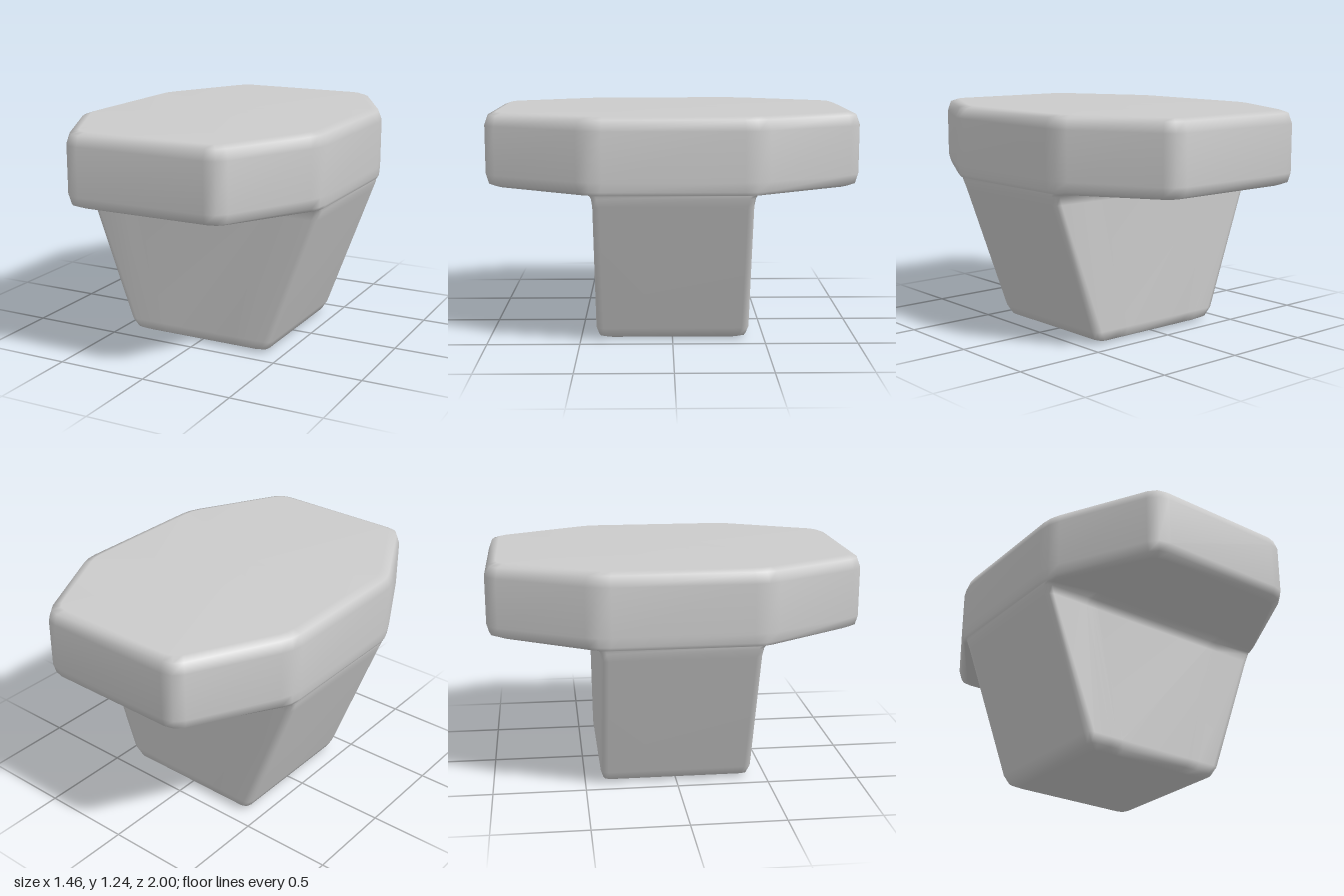
import * as THREE from 'three';

// Horizontal sections from top to bottom:
// [y, half width, z of the side corners, x of the end corners, z of the end corners, corner radius]
const SECTIONS = [
  // slab
  [1.24, 0.665, 0.41, 0.39, 0.94, 0.05],
  [1.225, 0.71, 0.425, 0.42, 0.98, 0.06],
  [1.17, 0.73, 0.435, 0.43, 1.0, 0.07],
  [0.91, 0.73, 0.435, 0.43, 1.0, 0.07],
  [0.86, 0.726, 0.43, 0.42, 0.985, 0.06],
  [0.843, 0.718, 0.425, 0.40, 0.94, 0.05],
  // underside and fillet into the stem
  [0.84, 0.715, 0.425, 0.43, 0.48, 0.03],
  [0.825, 0.714, 0.42, 0.43, 0.43, 0.03],
  [0.78, 0.70, 0.415, 0.42, 0.415, 0.035],
  // tapered stem and foot
  [0.07, 0.44, 0.415, 0.26, 0.415, 0.04],
  [0.02, 0.41, 0.40, 0.25, 0.40, 0.04],
  [0, 0.36, 0.36, 0.22, 0.36, 0.03],
];

// Eight-cornered outline, each corner rounded with three points
function outline([y, w, zSide, xEnd, zEnd, r]) {
  const corners = [
    [w, zSide], [xEnd, zEnd], [-xEnd, zEnd], [-w, zSide],
    [-w, -zSide], [-xEnd, -zEnd], [xEnd, -zEnd], [w, -zSide],
  ].map(([x, z]) => new THREE.Vector3(x, y, z));
  return corners.flatMap((p, i) => {
    const toward = (q) => p.clone().add(q.clone().sub(p).setLength(r));
    const a = toward(corners[(i + 7) % 8]);
    const b = toward(corners[(i + 1) % 8]);
    const mid = a.clone().add(b).multiplyScalar(0.25).addScaledVector(p, 0.5);
    return [a, mid, b];
  });
}

function loftGeometry(sections) {
  const rings = sections.map(outline);
  const n = rings[0].length;
  const points = rings.flat();
  const index = [];
  for (let i = 0; i < rings.length - 1; i++) {
    for (let j = 0; j < n; j++) {
      const a = i * n + j, b = i * n + (j + 1) % n;
      index.push(a, b, b + n, a, b + n, a + n);
    }
  }
  // top and bottom caps
  const last = (rings.length - 1) * n;
  const top = points.push(new THREE.Vector3(0, sections[0][0], 0)) - 1;
  const bottom = points.push(new THREE.Vector3(0, sections.at(-1)[0], 0)) - 1;
  for (let j = 0; j < n; j++) {
    const k = (j + 1) % n;
    index.push(top, k, j, bottom, last + j, last + k);
  }
  const geometry = new THREE.BufferGeometry().setFromPoints(points);
  geometry.setIndex(index);
  geometry.computeVertexNormals();
  return geometry;
}

export function createModel() {
  const group = new THREE.Group();
  group.name = 'taperedBlock';
  const body = new THREE.Mesh(
    loftGeometry(SECTIONS),
    new THREE.MeshStandardMaterial({ color: 0xcccccc }),
  );
  body.name = 'slabAndStem';
  group.add(body);
  return group;
}
